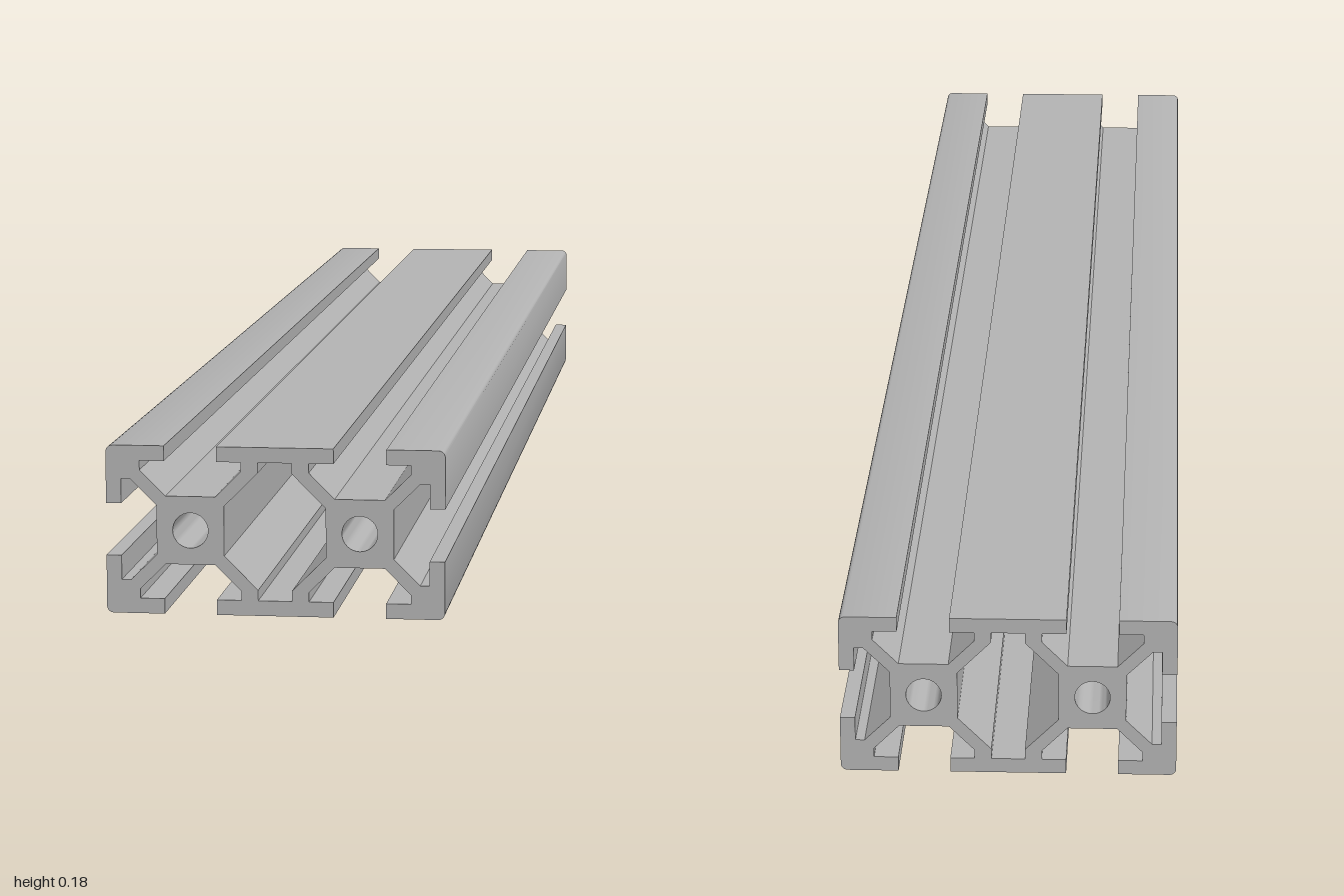
import * as THREE from 'three';
import { toCreasedNormals } from 'three/addons/utils/BufferGeometryUtils.js';

const LENGTH = 220;      // rail measured in millimetres: 40 x 20 x 220
const SCALE = 2 / LENGTH;

const mirrorX = (pts) => pts.map(([x, y]) => [-x, y]).reverse();
const toVectors = (pts) => pts.map(([x, y]) => new THREE.Vector2(x, y));

// Rounded outer corner, counter-clockwise
function roundedCorner(x, y, r, steps = 6) {
  return Array.from({ length: steps + 1 }, (_, i) => {
    const a = (i / steps) * Math.PI / 2;
    return [x - r + r * Math.cos(a), y - r + r * Math.sin(a)];
  });
}

function railShape() {
  // Upper right quarter: side slot, corner lip, top slot, middle lip
  const quarter = [
    [14, 2.95], [17.1, 6], [18.2, 6], [18.2, 3.1], [20, 3.1],
    ...roundedCorner(20, 10, 0.8),
    [13.1, 10], [13.1, 8.2], [16, 8.2], [16, 7.1], [12.95, 4.05],
    [7.05, 4.05], [4, 7.1], [4, 8.2], [6.9, 8.2], [6.9, 10],
  ];
  const upper = [...quarter, ...mirrorX(quarter)];
  const lower = upper.map(([x, y]) => [-x, -y]);
  const shape = new THREE.Shape(toVectors([...upper, ...lower]));

  // Large hollow between the two cores
  const side = [[6, -2.95], [6, 2.95], [2, 6.95], [2, 8.2]];
  const hollow = [[2, -8.2], [2, -6.95], ...side];
  shape.holes.push(new THREE.Path(toVectors([...hollow, ...mirrorX(hollow)])));

  // Round bore through each core
  for (const x of [-10, 10]) {
    shape.holes.push(new THREE.Path().absarc(x, 0, 2.1, 0, Math.PI * 2, true));
  }
  return shape;
}

export function createModel() {
  const aluminium = new THREE.MeshStandardMaterial({ color: 0xb4b4b4 });
  aluminium.name = 'aluminium';

  const extruded = new THREE.ExtrudeGeometry(railShape(), {
    depth: LENGTH, bevelEnabled: false, curveSegments: 16,
  });
  extruded.translate(0, 10, -LENGTH / 2);
  extruded.scale(SCALE, SCALE, SCALE);

  const rail = new THREE.Mesh(toCreasedNormals(extruded, 0.5), aluminium);
  rail.name = 'slottedRail';

  const model = new THREE.Group();
  model.name = 'doubleSlotExtrusion';
  model.add(rail);
  return model;
}
